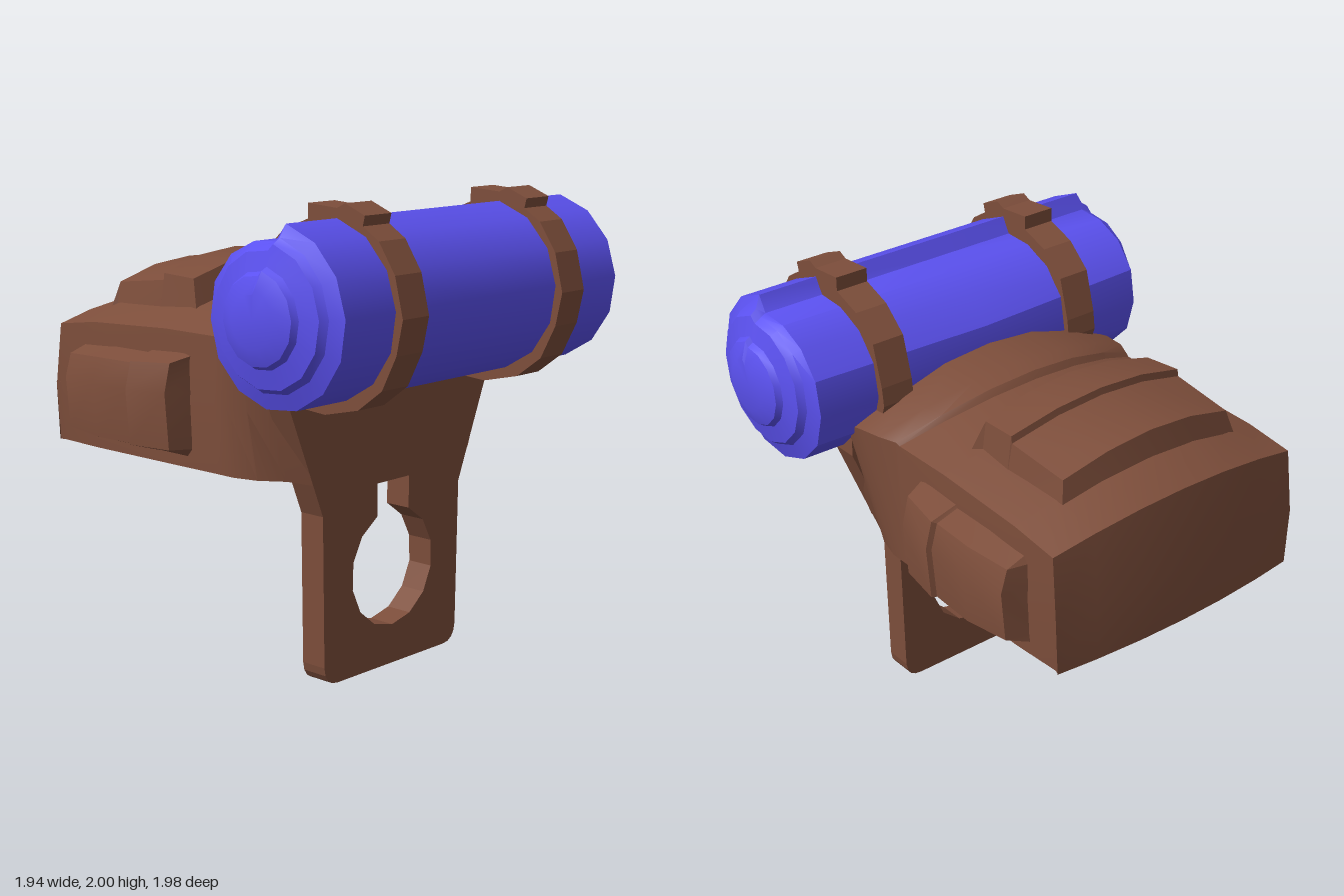
import * as THREE from 'three';
import { toCreasedNormals } from 'three/addons/utils/BufferGeometryUtils.js';

const leather = new THREE.MeshStandardMaterial({ color: 0x7d4e3b, side: THREE.DoubleSide });
const cloth = new THREE.MeshStandardMaterial({ color: 0x5b51f0, side: THREE.DoubleSide });

// Surface through rows of [x, y, z] points
function skin(rows, crease = 0.5) {
  const n = rows[0].length, index = [];
  for (let i = 0; i < rows.length - 1; i++) {
    for (let j = 0; j < n - 1; j++) {
      const a = i * n + j, b = a + n;
      index.push(a, a + 1, b, a + 1, b + 1, b);
    }
  }
  const g = new THREE.BufferGeometry();
  g.setAttribute('position', new THREE.Float32BufferAttribute(rows.flat(2), 3));
  g.setIndex(index);
  return toCreasedNormals(g, crease);
}

export function createModel() {
  const model = new THREE.Group();
  model.name = 'saddlePack';
  const add = (name, geometry, material = leather) => {
    const mesh = new THREE.Mesh(geometry, material);
    mesh.name = name;
    model.add(mesh);
    return mesh;
  };

  // Mounting plate with keyhole opening
  const plate = new THREE.Shape();
  plate.moveTo(-0.34, 0);
  plate.lineTo(0.34, 0);
  plate.quadraticCurveTo(0.415, 0, 0.42, 0.08);
  for (const [x, y] of [[0.43, 0.72], [0.65, 1.26], [0.65, 1.39], [0.4, 1.52], [0, 1.58],
    [-0.4, 1.52], [-0.65, 1.39], [-0.65, 1.26], [-0.43, 0.72], [-0.42, 0.08]]) plate.lineTo(x, y);
  plate.quadraticCurveTo(-0.415, 0, -0.34, 0);
  const keyhole = [new THREE.Vector2(-0.1, 0.8), new THREE.Vector2(0.1, 0.8)];
  for (let i = 0; i <= 12; i++) {
    const a = 1.17 - (i / 12) * (Math.PI + 2.34);
    keyhole.push(new THREE.Vector2(0.255 * Math.cos(a), 0.425 + 0.255 * Math.sin(a)));
  }
  plate.holes.push(new THREE.Path(keyhole));
  const plateGeometry = new THREE.ExtrudeGeometry(plate, { depth: 0.12, bevelEnabled: false, curveSegments: 4 });
  plateGeometry.translate(0, 0, 0.34);
  add('mountingPlate', plateGeometry);

  // Bag shell, open below: [z, bottom half width, top half width, shoulder y, crown y, bow]
  const sections = [
    [0.46, 0.49, 0.65, 1.38, 1.6, 0],
    [0.34, 0.51, 0.67, 1.42, 1.62, 0],
    [0.24, 0.58, 0.67, 1.44, 1.62, 0.03],
    [0.13, 0.61, 0.655, 1.445, 1.615, 0.1],
    [0.06, 0.61, 0.625, 1.44, 1.61, 0.12],
    [0.04, 0.61, 0.62, 1.43, 1.58, 0.12],
    [-0.25, 0.615, 0.62, 1.43, 1.57, 0.08],
    [-0.7, 0.62, 0.625, 1.41, 1.54, 0.05],
    [-0.92, 0.61, 0.625, 1.38, 1.46, 0.04],
  ];
  // Shell or lining, moved inward by side, top and back thickness
  const shellRows = (tSide, tTop, tBack) => {
    const rows = sections.map(([z, wb, ws, ys, yc, bow], i) => {
      const zz = i === sections.length - 1 ? z + tBack : z;
      const arch = (f) => [(ws - tSide) * f, yc - (yc - ys) * f * f - tTop, zz - bow * (1 - f * f)];
      const half = [
        [wb - tSide, 0.86, zz],
        [(wb + ws) / 2 + 0.01 - tSide, (0.86 + ys) / 2, zz],
        arch(1), arch(0.7), arch(0.35),
      ];
      const mirrored = half.map(([x, y, z]) => [-x, y, z]).reverse();
      return [...half, arch(0), ...mirrored];
    });
    // Back wall, bulging slightly on its way down to the rim
    const last = rows[rows.length - 1];
    rows.push(last.map(([x, y, z]) => [x * 1.01, Math.min(y, 1.12), z - 0.03]));
    rows.push(last.map(([x, , z]) => [x * 0.99, 0.86, z - 0.03]));
    return rows;
  };
  const outer = shellRows(0, 0, 0), inner = shellRows(0.08, 0.06, 0.1).slice(1);
  const rim = (rows) => [...rows.map((r) => r[0]), ...rows.at(-1), ...rows.map((r) => r.at(-1)).reverse()];
  add('bagShell', skin(outer));
  add('bagLining', skin(inner));
  add('bagRim', skin([rim(outer.slice(1)), rim(inner)]));

  // Inner front wall, leaning back around the bedroll
  add('innerFrontWall', skin([[1.15, 0.338], [1.32, 0.26], [1.46, 0.215], [1.56, 0.2]]
    .map(([y, z]) => [-0.6, -0.3, 0, 0.3, 0.6].map((x) => [x, y - (y - 1.15) * 0.75 * x * x, z]))));

  // Top pocket with overlapping flap: [z, y, half width, bow]
  const topPocket = [
    [-0.23, 1.53, 0.46, 0], [-0.28, 1.69, 0.43, 0], [-0.45, 1.7, 0.44, 0.025],
    [-0.455, 1.67, 0.44, 0.025], [-0.745, 1.635, 0.43, 0.02], [-0.77, 1.5, 0.45, 0.02],
  ].map(([z, y, w, bow], i, list) => {
    const low = i === 0 || i === list.length - 1;
    const arch = (f) => [f * w, y - 0.075 * f * f, z - bow * (1 - f * f)];
    const edge = (s) => [s * (w + 0.025), low ? y - 0.08 : 1.43, z];
    return [edge(-1), ...[-1, -0.5, 0, 0.5, 1].map(arch), edge(1)];
  });
  add('topPocket', skin(topPocket));

  // Side pockets: [z, outward x, low y, high y]
  for (const side of [1, -1]) {
    const rows = [
      [-0.09, 0.59, 0.94, 1.3], [-0.13, 0.74, 0.95, 1.31], [-0.33, 0.775, 0.95, 1.3],
      [-0.34, 0.755, 0.95, 1.29], [-0.55, 0.765, 0.95, 1.29], [-0.755, 0.74, 0.96, 1.28], [-0.79, 0.59, 0.96, 1.28],
    ].map(([z, x, lo, hi]) => [
      [side * 0.59, lo - 0.05, z], [side * (x - 0.02), lo, z],
      [side * x, (lo + hi) / 2 + 0.06, z], [side * (x - 0.03), hi, z], [side * 0.59, hi + 0.04, z],
    ]);
    add(side > 0 ? 'leftPocket' : 'rightPocket', skin(rows));
  }

  // Bedroll: rolled cross-section with a free edge, [x, factor at start, factor at end of the turn]
  const steps = 14, cy = 1.59, cz = 0.6;
  const startRadii = [0.285, 0.295, 0.315, 0.335, 0.345];
  const ring = ([x, f0, f1]) => {
    const row = [];
    for (let j = 0; j <= steps; j++) {
      const t = -0.08 + (j / steps) * (Math.PI * 2 - 0.09);
      const r = f0 === undefined ? startRadii[j] ?? 0.357 : 0.36 * (f0 + ((f1 - f0) * j) / steps);
      // The middle sags a little toward the bag
      const sag = x === 0 ? 0.035 * Math.max(0, Math.sin(t)) : 0;
      row.push([x, cy + r * Math.cos(t), cz - r * Math.sin(t) - sag]);
    }
    row.push(row[0]);
    return row;
  };
  const end = [
    [0.845], [0.87, 0.76, 0.85], [0.9, 0.71, 0.79], [0.92, 0.5, 0.56],
    [0.945, 0.46, 0.52], [0.972, 0.27, 0.33], [0.965, 0, 0],
  ];
  const flipped = end.map(([x, ...f]) => [-x, ...f]).reverse();
  add('bedroll', skin([...flipped, [0], ...end].map(ring)), cloth);

  // Straps with buckle block on top, outline as [z, y]
  const outline = [
    [0.99, 1.59], [0.95, 1.75], [0.87, 1.87], [0.79, 1.92], [0.8, 1.96], [0.7, 2], [0.66, 1.98], [0.51, 1.99],
    [0.51, 1.93], [0.38, 1.88], [0.27, 1.78], [0.22, 1.6], [0.21, 1.52], [0.25, 1.4], [0.33, 1.27],
    [0.45, 1.19], [0.6, 1.18], [0.77, 1.22], [0.89, 1.31], [0.96, 1.45],
  ];
  const strap = new THREE.ExtrudeGeometry(
    new THREE.Shape(outline.map(([z, y]) => new THREE.Vector2(-z, y))),
    { depth: 0.15, bevelEnabled: false });
  strap.translate(0, 0, -0.075);
  strap.rotateY(Math.PI / 2);
  for (const side of [1, -1]) {
    add(side > 0 ? 'leftStrap' : 'rightStrap', strap).position.x = side * 0.495;
  }
  return model;
}
